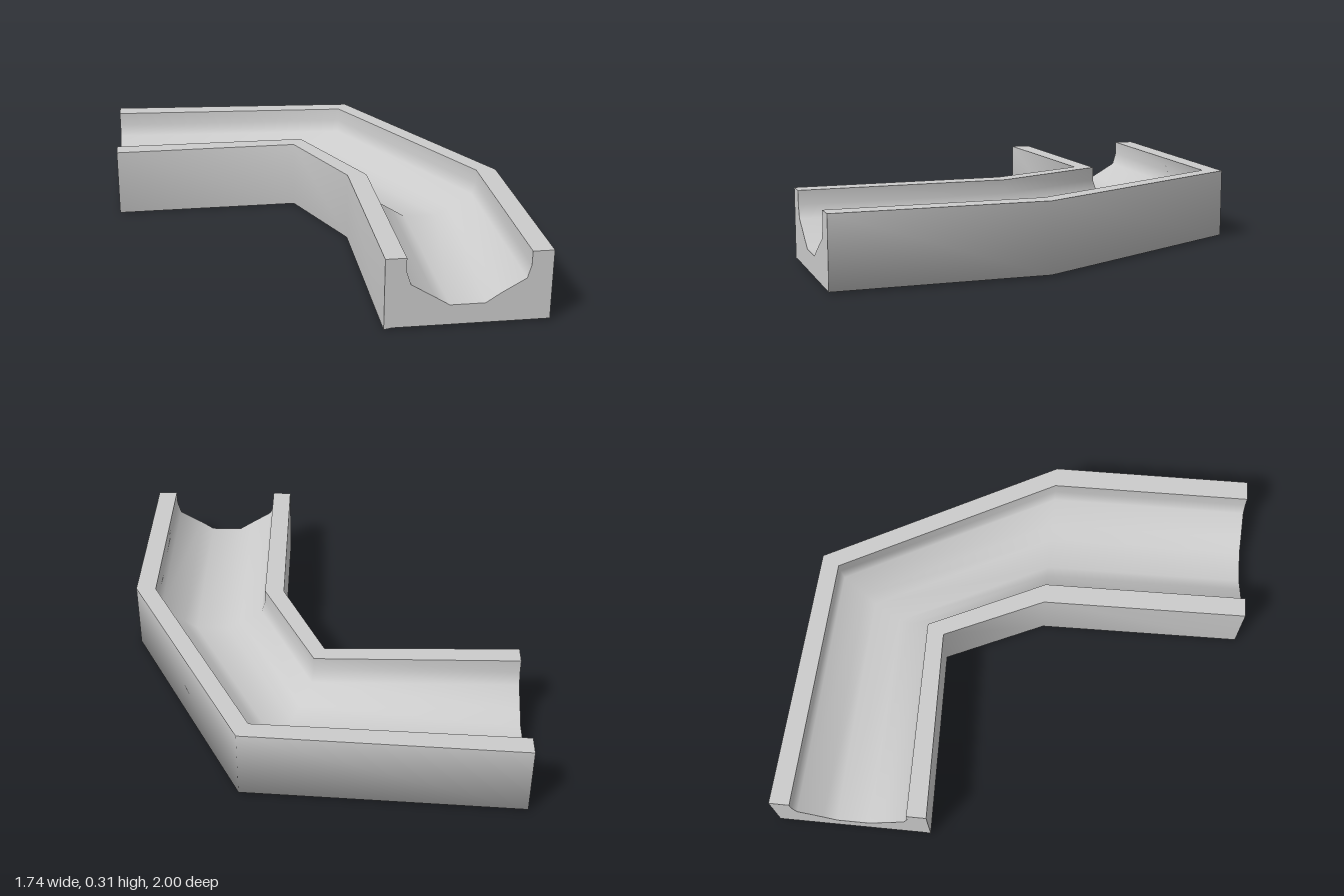
import * as THREE from 'three';

// Stations along the bend: [inner x, inner z, outer x, outer z]
const stations = [
  [-0.87, -0.32, -0.87, -1.0],
  [-0.03, -0.345, 0.3, -0.94],
  [0.17, 0.09, 0.85, 0.09],
  [0.19, 1.0, 0.865, 0.985],
];
const H = 0.305;

// Profiles as [fraction from inner to outer side, height]
const groove = [
  [0.127, H], [0.128, 0.245], [0.155, 0.19], [0.3, 0.13], [0.39, 0.092],
  [0.605, 0.092], [0.69, 0.13], [0.845, 0.19], [0.868, 0.245], [0.869, H],
];
const shell = [[1, H], [1, 0.006], [0.05, 0.006], [0, 0], [0, H]];
const innerRim = [[0, H], groove[0]];
const outerRim = [groove[groove.length - 1], [1, H]];

const place = ([ix, iz, ox, oz], [t, y]) => [ix + (ox - ix) * t, y, iz + (oz - iz) * t];

function geometry(points, index) {
  const g = new THREE.BufferGeometry();
  g.setAttribute('position', new THREE.Float32BufferAttribute(points.flat(), 3));
  g.setIndex(index);
  g.computeVertexNormals();
  return g;
}

// Sweep an open profile through all stations
function sweep(profile) {
  const n = profile.length;
  const points = stations.flatMap((s) => profile.map((p) => place(s, p)));
  const index = [];
  for (let i = 0; i < stations.length - 1; i++) {
    for (let j = 0; j < n - 1; j++) {
      const a = i * n + j, b = a + n;
      index.push(a, b, a + 1, b, b + 1, a + 1);
    }
  }
  return geometry(points, index);
}

// Flat end face across the whole section
function cap(station, flip) {
  const outline = [[0, H], [0, 0], [0.05, 0.006], [1, 0.006], [1, H], ...[...groove].reverse()];
  const contour = outline.map(([t, y]) => new THREE.Vector2(t, y));
  const faces = THREE.ShapeUtils.triangulateShape(contour, []);
  const index = faces.flatMap(([a, b, c]) => (flip ? [a, c, b] : [a, b, c]));
  return geometry(outline.map((p) => place(station, p)), index);
}

export function createModel() {
  const group = new THREE.Group();
  group.name = 'curvedChannel';
  const material = new THREE.MeshStandardMaterial({ color: 0xcccccc });
  const add = (name, geo) => {
    const mesh = new THREE.Mesh(geo, material);
    mesh.name = name;
    group.add(mesh);
  };
  add('channelGroove', sweep(groove));
  add('outerShell', sweep(shell));
  add('innerRim', sweep(innerRim));
  add('outerRim', sweep(outerRim));
  add('backEnd', cap(stations[0], true));
  add('frontEnd', cap(stations[3], false));
  return group;
}
